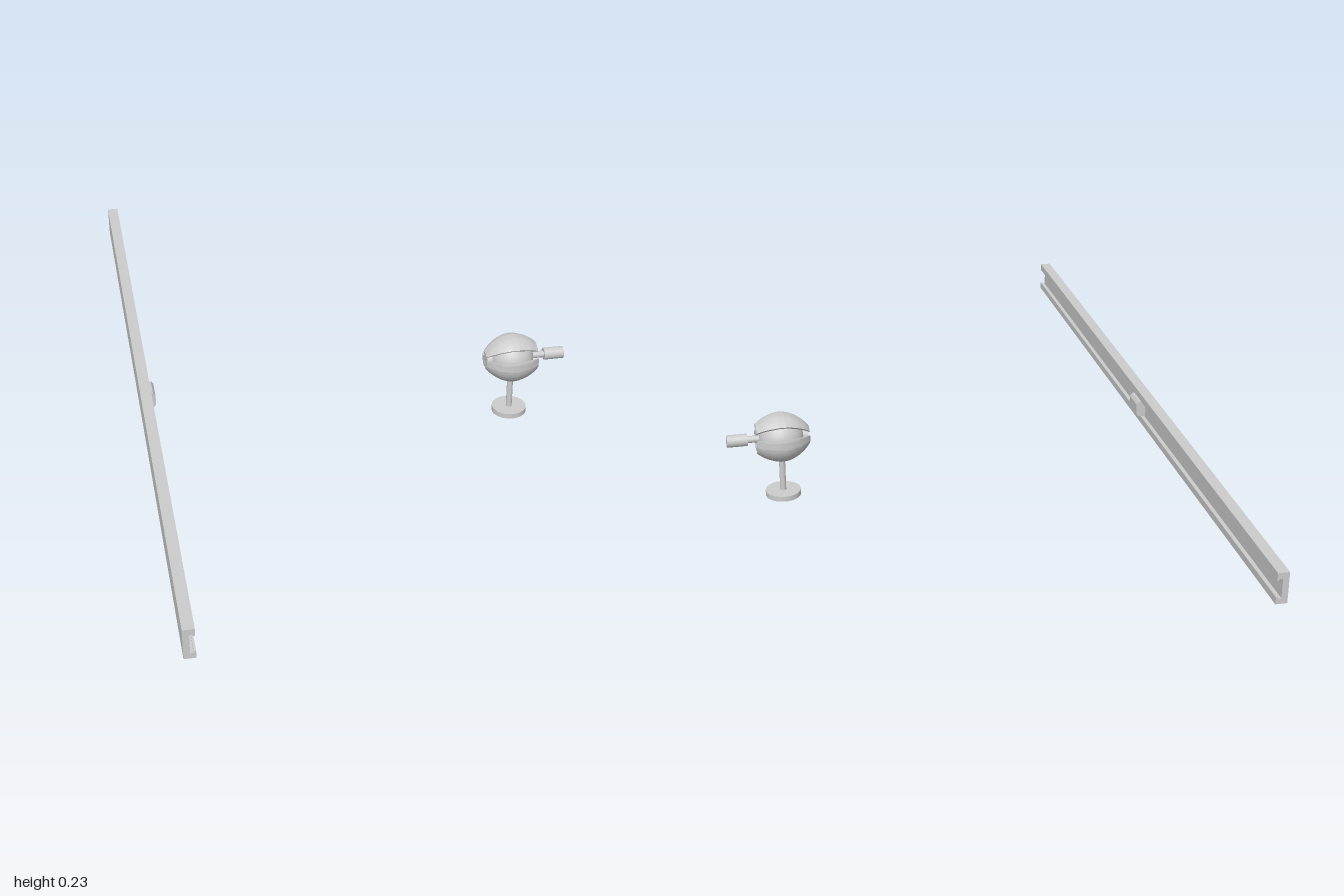
import * as THREE from 'three';
import { toCreasedNormals } from 'three/addons/utils/BufferGeometryUtils.js';

const grey = new THREE.MeshStandardMaterial({ color: 0xcccccc });
const greyDouble = new THREE.MeshStandardMaterial({ color: 0xcccccc, side: THREE.DoubleSide });

function add(parent, name, geometry, x = 0, y = 0, z = 0, material = grey) {
  const mesh = new THREE.Mesh(geometry, material);
  mesh.name = name;
  mesh.position.set(x, y, z);
  parent.add(mesh);
  return mesh;
}

// Extrudes an x-y outline along z, centred on z = 0
function bar(points, length) {
  const shape = new THREE.Shape(points.map(([x, y]) => new THREE.Vector2(x, y)));
  const geometry = new THREE.ExtrudeGeometry(shape, { depth: length, bevelEnabled: false });
  return geometry.translate(0, 0, -length / 2);
}

// One third of the slotted shell: a 90 degree sector of a hollow profile, closed at its cut sides
function shellPetal(index) {
  const petal = new THREE.Group();
  petal.name = 'shellPetal' + index;
  const outer = new THREE.CatmullRomCurve3([
    [0.023, -0.073], [0.036, -0.062], [0.054, -0.038], [0.063, -0.016],
    [0.065, 0.004], [0.06, 0.027], [0.052, 0.046], [0.039, 0.065],
  ].map(([r, h]) => new THREE.Vector3(r, h, 0))).getPoints(24);
  const profile = outer.map((p) => new THREE.Vector2(p.x, p.y));
  const inner = profile.slice().reverse().map((p) => new THREE.Vector2(p.x - 0.008, p.y));
  const loop = [...profile, ...inner];

  const start = -Math.PI * 3 / 4 + index * Math.PI * 2 / 3;
  const sweep = Math.PI / 2;
  const lathe = new THREE.LatheGeometry([...loop, loop[0].clone()], 24, start, sweep);
  add(petal, 'shell', toCreasedNormals(lathe, 0.6), 0, 0, 0, greyDouble);
  for (const angle of [start, start + sweep]) {
    const side = new THREE.ShapeGeometry(new THREE.Shape(loop));
    add(petal, 'shellEdge', side, 0, 0, 0, greyDouble).rotation.y = angle - Math.PI / 2;
  }
  return petal;
}

export function createModel() {
  const model = new THREE.Group();
  model.name = 'railAndBallHead';

  // Long rail with a slightly undercut channel facing +x
  const back = -0.567, face = -0.539, floor = -0.552;
  add(model, 'rail', bar([
    [back, 0.126], [face, 0.126], [face, 0.144], [-0.544, 0.144], [-0.544, 0.14], [floor, 0.14],
    [floor, 0.19], [-0.544, 0.19], [-0.544, 0.186], [face, 0.186], [face, 0.205], [back, 0.205],
  ], 2));

  // Slider block seated in the channel
  add(model, 'slider', bar([
    [floor, 0.142], [-0.533, 0.144], [-0.527, 0.152],
    [-0.527, 0.178], [-0.533, 0.186], [floor, 0.188],
  ], 0.06));

  // Stand
  const cx = 0.424, cy = 0.166;
  add(model, 'base', new THREE.CylinderGeometry(0.046, 0.046, 0.014, 48), cx, 0.007, 0);
  add(model, 'post', new THREE.CylinderGeometry(0.008, 0.008, 0.106, 24), cx, 0.065, 0);

  // Ball head, built along y and turned so that its axis lies on x
  const head = new THREE.Group();
  head.name = 'ballHead';
  head.position.set(cx, cy, 0);
  head.rotation.z = -Math.PI / 2;
  model.add(head);
  add(head, 'ball', new THREE.SphereGeometry(0.058, 48, 32));
  for (let i = 0; i < 3; i++) head.add(shellPetal(i));
  add(head, 'nose', new THREE.CylinderGeometry(0.017, 0.017, 0.02, 32), 0, -0.06, 0);
  add(head, 'arm', new THREE.CylinderGeometry(0.009, 0.009, 0.05, 24), 0, 0.068, 0);
  add(head, 'knob', new THREE.CylinderGeometry(0.016, 0.016, 0.053, 32), 0, 0.1145, 0);
  return model;
}
